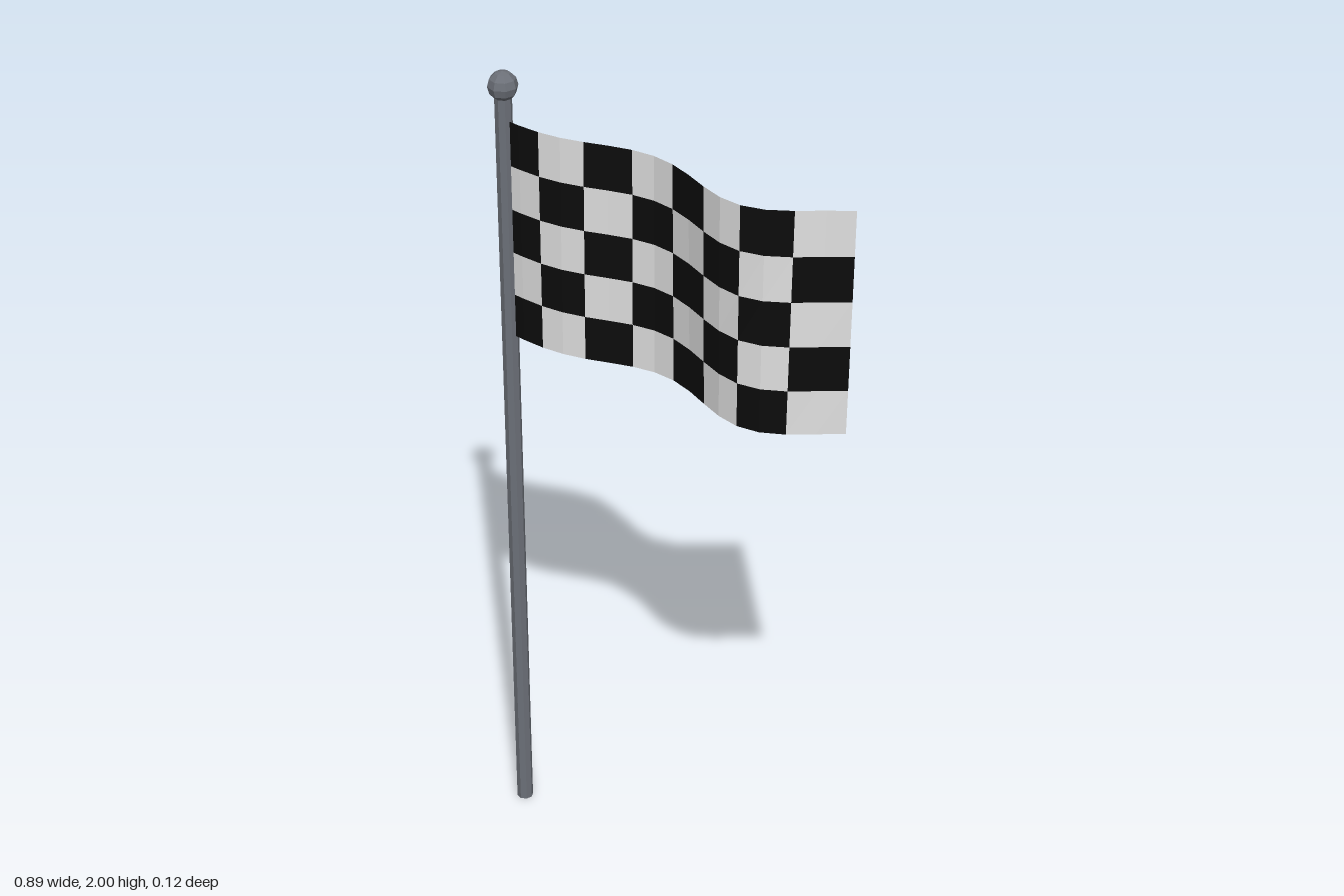
import * as THREE from 'three';

const POLE_X = -0.41;
const FLAG = { left: -0.42, right: 0.443, top: 1.885, height: 0.54, cols: 8, rows: 5 };

// Waving cloth: a travelling wave that grows away from the pole, with one
// material group per check.
function clothGeometry() {
  const { left, right, top, height, cols, rows } = FLAG;
  const geometry = new THREE.PlaneGeometry(1, 1, cols * 2, rows);
  const p = geometry.attributes.position;
  for (let i = 0; i < p.count; i++) {
    const u = p.getX(i) + 0.5;
    const v = p.getY(i); // -0.5 at the bottom, 0.5 at the top
    const wave = 0.072 * Math.pow(Math.max(u, 0), 0.8) * Math.sin(0.87 + 9.4 * u + 0.22 * v);
    p.setXYZ(i, left + (right - left) * u, top + (v - 0.5) * height - 0.022 * u, wave);
  }
  geometry.computeVertexNormals();
  geometry.clearGroups();
  for (let r = 0; r < rows; r++) {
    for (let c = 0; c < cols; c++) {
      geometry.addGroup((r * cols + c) * 12, 12, (r + c) % 2);
    }
  }
  return geometry;
}

export function createModel() {
  const metal = new THREE.MeshStandardMaterial({ color: 0x6c7078, flatShading: true });
  metal.name = 'greyMetal';
  const black = new THREE.MeshStandardMaterial({ color: 0x0c0c0c, flatShading: true, side: THREE.DoubleSide });
  black.name = 'blackCloth';
  const white = new THREE.MeshStandardMaterial({ color: 0xdedede, flatShading: true, side: THREE.DoubleSide });
  white.name = 'whiteCloth';

  const model = new THREE.Group();
  model.name = 'checkeredFlag';
  const add = (name, geometry, material, x = 0, y = 0) => {
    const mesh = new THREE.Mesh(geometry, material);
    mesh.name = name;
    mesh.position.set(x, y, 0);
    model.add(mesh);
  };

  // Pole and ball finial
  add('pole', new THREE.CylinderGeometry(0.02, 0.02, 1.95, 8), metal, POLE_X, 0.975);
  add('finial', new THREE.SphereGeometry(0.035, 8, 6), metal, POLE_X, 1.965);

  // Cloth
  add('flagCloth', clothGeometry(), [black, white]);

  return model;
}
